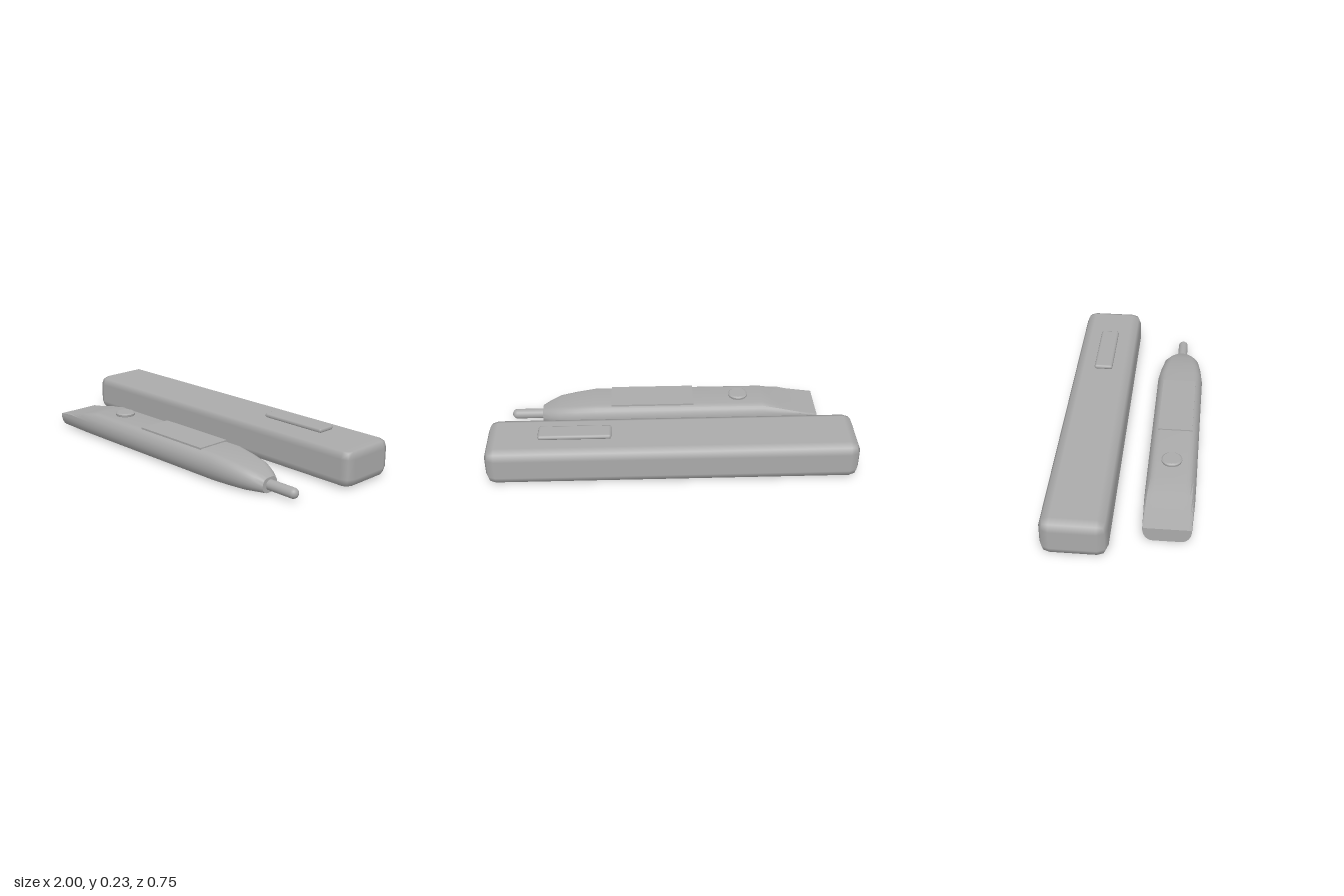
import * as THREE from 'three';
import { toCreasedNormals } from 'three/addons/utils/BufferGeometryUtils.js';
import { RoundedBoxGeometry } from 'three/addons/geometries/RoundedBoxGeometry.js';

const PEN_Z = 0.244;

// Rounded-rectangle section standing on y = 0, with its top sliced off at "cut"
function section(x, halfWidth, height, cut) {
  const steps = 6, ry = height / 2, rz = Math.min(0.052, halfWidth * 0.68);
  const points = [];
  for (let q = 0; q < 4; q++) {
    for (let i = 0; i <= steps; i++) {
      if (i === 0 && q % 2 === 0 && q > 0) continue; // side points shared by two corners
      if (q === 3 && i === steps) continue;
      const t = (q + i / steps) * Math.PI / 2;
      const side = q === 0 || q === 3 ? 1 : -1;
      points.push([x, Math.min(ry + ry * Math.sin(t), cut), PEN_Z + side * (halfWidth - rz) + rz * Math.cos(t)]);
    }
  }
  return points;
}

// Skin over a row of sections, with flat ends
function loft(rings) {
  const n = rings[0].length, last = (rings.length - 1) * n;
  const positions = rings.flat(2), index = [];
  for (let r = 0; r < rings.length - 1; r++) {
    for (let i = 0; i < n; i++) {
      const a = r * n + i, b = r * n + (i + 1) % n;
      index.push(a, a + n, b, b, a + n, b + n);
    }
  }
  for (const ring of [rings[0], rings[rings.length - 1]]) {
    const top = Math.max(...ring.map((p) => p[1]));
    positions.push(ring[0][0], top / 2, PEN_Z);
  }
  const c = rings.length * n;
  for (let i = 0; i < n; i++) {
    const j = (i + 1) % n;
    index.push(c, i, j, c + 1, last + j, last + i);
  }
  const geometry = new THREE.BufferGeometry();
  geometry.setAttribute('position', new THREE.Float32BufferAttribute(positions, 3));
  geometry.setIndex(index);
  return toCreasedNormals(geometry, 0.8);
}

export function createModel() {
  const model = new THREE.Group();
  const grey = new THREE.MeshStandardMaterial({ color: 0xaaaaaa });
  grey.name = 'grey';

  function add(name, geometry, x, y, z, parent = model) {
    const mesh = new THREE.Mesh(geometry, grey);
    mesh.name = name;
    mesh.position.set(x, y, z);
    parent.add(mesh);
    return mesh;
  }

  // Carrying case with a raised catch
  const carryingCase = new THREE.Group();
  carryingCase.name = 'carryingCase';
  model.add(carryingCase);
  add('caseBody', new RoundedBoxGeometry(2, 0.211, 0.34, 1, 0.053), 0, 0.1055, -0.203, carryingCase);
  add('caseCatch', new RoundedBoxGeometry(0.394, 0.026, 0.105, 1, 0.0125), 0.523, 0.222, -0.203, carryingCase);

  // Slim instrument: sloped tail, straight middle, tapering nose
  const pen = new THREE.Group();
  pen.name = 'pen';
  model.add(pen);
  const stations = [ // x, half width, height, cut height
    [-0.845, 0.123, 0.145, 0.08],
    [-0.75, 0.126, 0.145, 0.095],
    [-0.64, 0.13, 0.145, 0.119],
    [-0.53, 0.131, 0.145, 0.145],
    [0.43, 0.131, 0.145, 0.145],
    [0.54, 0.12, 0.132, 0.132],
    [0.63, 0.106, 0.119, 0.119],
    [0.69, 0.082, 0.1, 0.1],
    [0.735, 0.053, 0.08, 0.08],
  ];
  add('penBody', loft(stations.map((s) => section(...s))), 0, 0, 0, pen);

  // Rounded probe at the nose
  const probe = add('probe', new THREE.CapsuleGeometry(0.028, 0.16, 8, 24), 0.807, 0.04, PEN_Z, pen);
  probe.rotation.z = -Math.PI / 2;

  // Display plate and push button on the top
  add('display', new THREE.BoxGeometry(0.47, 0.012, 0.187), 0.101, 0.146, PEN_Z, pen);
  const buttonProfile = [[0, 0], [0.05, 0], [0.055, 0.012], [0.055, 0.018], [0.047, 0.024], [0, 0.024]]
    .map(([r, y]) => new THREE.Vector2(r, y));
  add('button', toCreasedNormals(new THREE.LatheGeometry(buttonProfile, 32), 0.5), -0.395, 0.14, 0.24, pen);

  return model;
}
